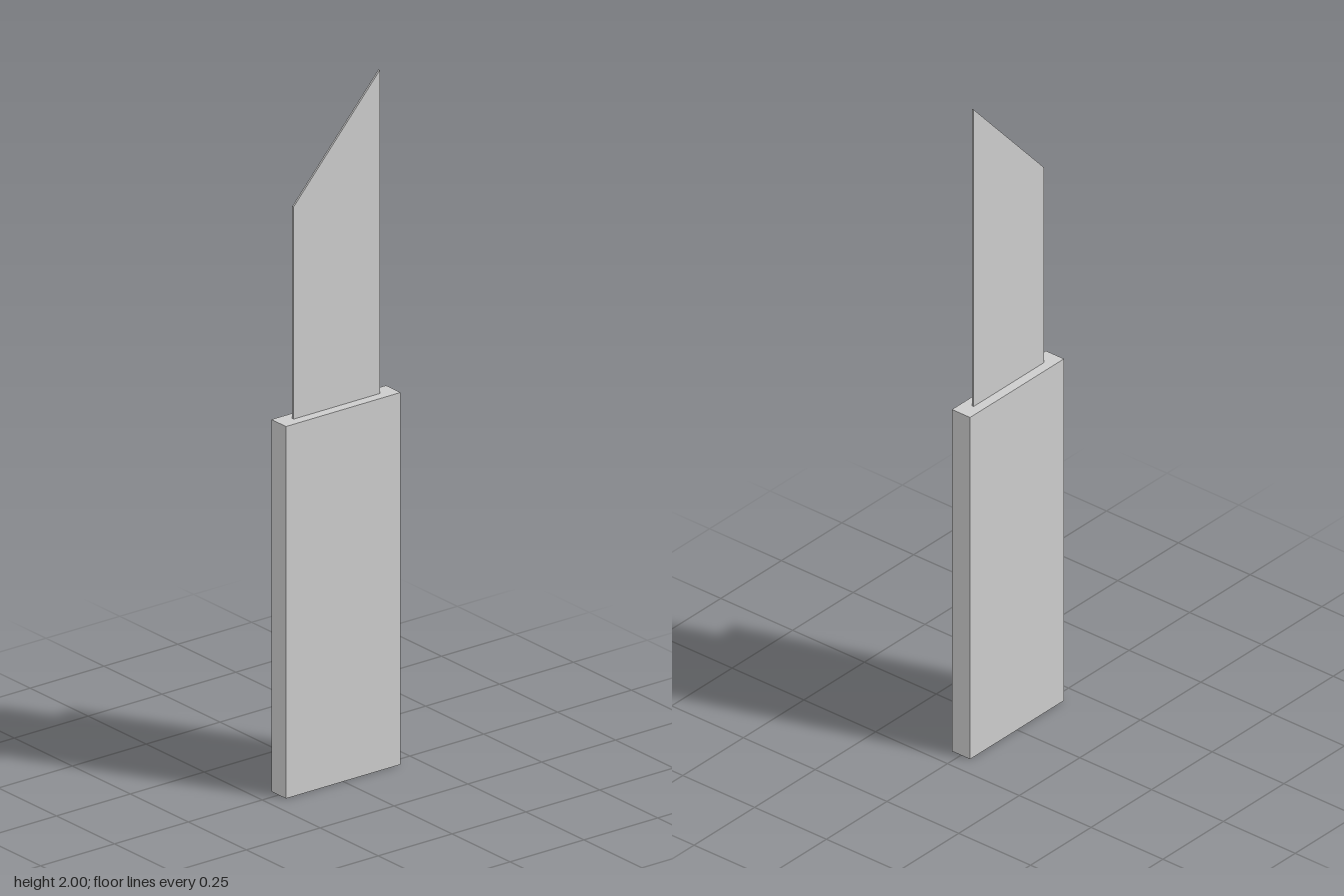
import * as THREE from 'three';

export function createModel() {
  const model = new THREE.Group();
  const grey = new THREE.MeshStandardMaterial({ color: 0xcccccc });
  grey.name = 'light grey';

  // Flat rectangular handle
  const handleHeight = 1.07;
  const handle = new THREE.Mesh(new THREE.BoxGeometry(0.063, handleHeight, 0.388), grey);
  handle.name = 'handle';
  handle.position.y = handleHeight / 2;
  model.add(handle);

  // Thin blade with a slanted tip, highest at the back (profile x becomes z)
  const halfWidth = 0.146, thickness = 0.006;
  const profile = new THREE.Shape([
    new THREE.Vector2(-halfWidth, handleHeight),
    new THREE.Vector2(halfWidth, handleHeight),
    new THREE.Vector2(halfWidth, 1.68),
    new THREE.Vector2(-halfWidth, 2),
  ]);
  const bladeGeometry = new THREE.ExtrudeGeometry(profile, { depth: thickness, bevelEnabled: false });
  bladeGeometry.translate(0, 0, -thickness / 2).rotateY(-Math.PI / 2);
  const blade = new THREE.Mesh(bladeGeometry, grey);
  blade.name = 'blade';
  model.add(blade);

  return model;
}
